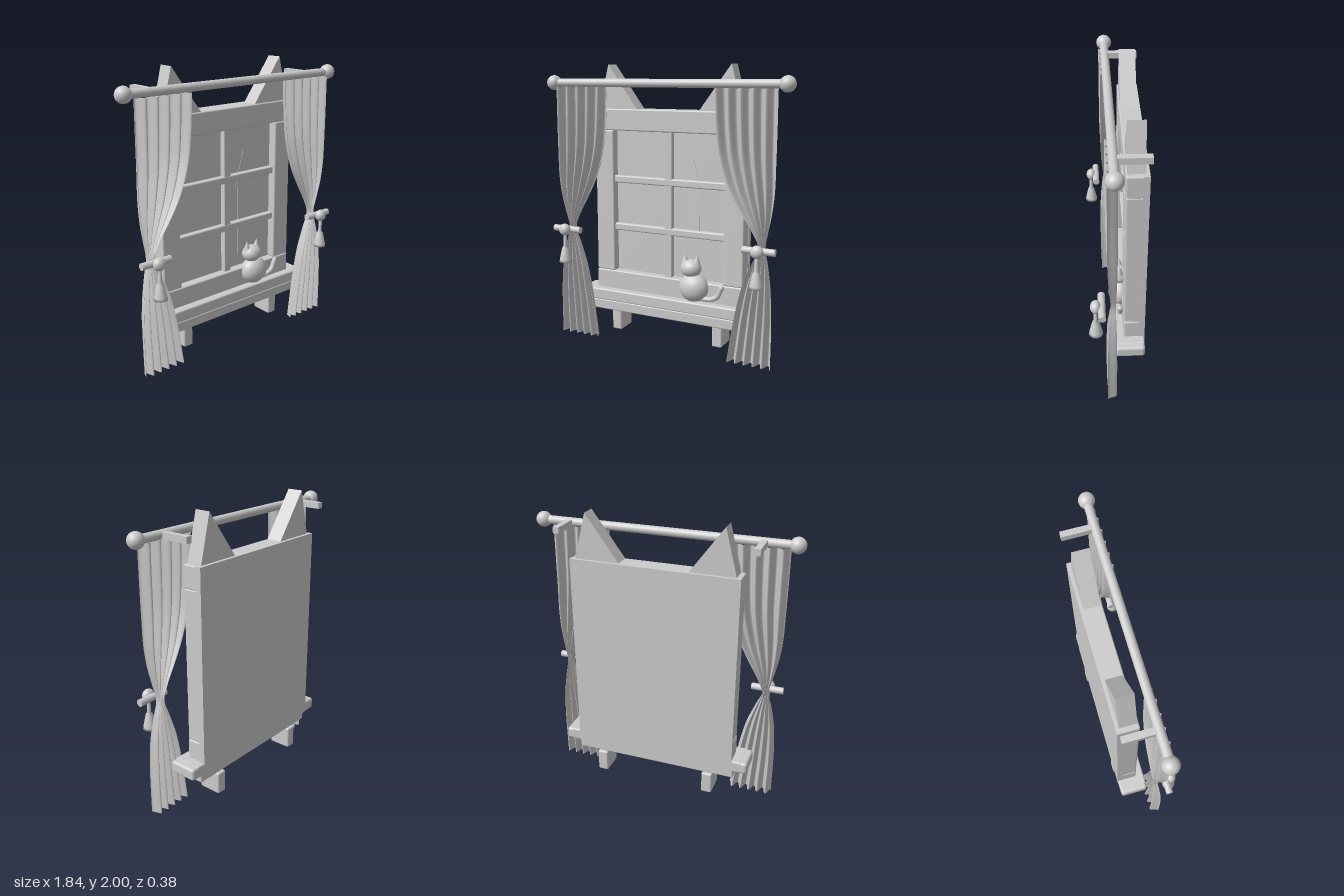
import * as THREE from 'three';
import { RoundedBoxGeometry } from 'three/addons/geometries/RoundedBoxGeometry.js';

export function createModel() {
  const root = new THREE.Group();
  const gray = new THREE.MeshStandardMaterial({ color: 0xcccccc });
  gray.name = 'plain gray';
  const cloth = gray.clone();
  cloth.name = 'plain gray cloth';
  cloth.side = THREE.DoubleSide;

  const add = (name, geo, x = 0, y = 0, z = 0, parent = root, mat = gray) => {
    const m = new THREE.Mesh(geo, mat);
    m.name = name;
    m.position.set(x, y, z);
    parent.add(m);
    return m;
  };
  // box given by its extents, with optional rounded edges
  const box = (name, x0, x1, y0, y1, z0, z1, r = 0) => {
    const w = x1 - x0, h = y1 - y0, d = z1 - z0;
    const geo = r ? new RoundedBoxGeometry(w, h, d, 3, r) : new THREE.BoxGeometry(w, h, d);
    return add(name, geo, (x0 + x1) / 2, (y0 + y1) / 2, (z0 + z1) / 2);
  };
  const prism = (points, depth) => new THREE.ExtrudeGeometry(
    new THREE.Shape(points.map(([x, y]) => new THREE.Vector2(x, y))), { depth, bevelEnabled: false });

  // window frame and panes
  box('backPanel', -0.578, 0.578, 0.28, 1.69, -0.19, -0.15);
  box('glass', -0.44, 0.44, 0.49, 1.55, -0.15, -0.11);
  box('topRail', -0.578, 0.578, 1.537, 1.69, -0.17, -0.048, 0.01);
  box('bottomRail', -0.578, 0.578, 0.345, 0.497, -0.17, -0.048, 0.01);
  for (const s of [-1, 1]) {
    const xs = [s * 0.43, s * 0.575].sort((a, b) => a - b);
    box('stile', ...xs, 0.497, 1.537, -0.17, -0.048, 0.01);
  }
  box('verticalMuntin', -0.03, 0.028, 0.49, 1.54, -0.115, -0.07, 0.005);
  for (const y of [1.184, 0.83]) box('crossMuntin', -0.435, 0.435, y - 0.026, y + 0.026, -0.115, -0.068, 0.01);

  // thin tower on the pane
  add('tower', prism([[0.125, 0.5], [0.225, 0.5], [0.225, 1.1], [0.247, 1.1], [0.175, 1.375], [0.103, 1.1], [0.125, 1.1]], 0.004), 0, 0, -0.111);

  // sill, apron and supports
  box('sill', -0.645, 0.645, 0.275, 0.36, -0.188, 0.01, 0.012);
  box('apron', -0.587, 0.587, 0.205, 0.28, -0.165, 0.01, 0.01);

  // curtain rows: y, outer x, inner x, fold depth
  const rows = [
    [1.845, 0.823, 0.402, 0.032], [1.6, 0.824, 0.415, 0.032], [1.4, 0.823, 0.442, 0.032],
    [1.2, 0.82, 0.508, 0.031], [1.05, 0.803, 0.59, 0.027], [0.93, 0.778, 0.665, 0.021],
    [0.82, 0.757, 0.712, 0.016], [0.7, 0.782, 0.668, 0.021], [0.55, 0.808, 0.612, 0.028],
    [0.35, 0.822, 0.566, 0.031], [0, 0.824, 0.513, 0.032]];
  const edge = (k) => new THREE.CatmullRomCurve3(rows.map((r) => new THREE.Vector3(r[k], r[0], r[3])));
  const outer = edge(1), inner = edge(2);
  const curtain = (s) => {
    const geo = new THREE.PlaneGeometry(1, 1, 72, 60);
    const p = geo.attributes.position;
    for (let i = 0; i < p.count; i++) {
      const u = p.getX(i) + 0.5, t = 0.5 - p.getY(i);
      const a = outer.getPoint(t), b = inner.getPoint(t);
      const x = s > 0 ? b.x + (a.x - b.x) * u : -(a.x + (b.x - a.x) * u);
      const fold = s > 0 ? 1 - u : u;
      p.setXYZ(i, x, a.y, 0.025 + a.z * 0.45 + a.z * Math.cos(fold * Math.PI * 10));
    }
    geo.computeVertexNormals();
    return geo;
  };

  // curtain rod
  const rodZ = 0.03;
  add('rod', new THREE.CylinderGeometry(0.029, 0.029, 1.7, 24), 0, 1.872, rodZ).rotation.z = Math.PI / 2;

  // tassel outline, hanging below the knot
  const tasselProfile = [[0, 0.575], [0.046, 0.575], [0.043, 0.595], [0.024, 0.68], [0.013, 0.695], [0.012, 0.8], [0, 0.8]]
    .map(([x, y]) => new THREE.Vector2(x, y));

  for (const s of [-1, 1]) {
    add('finial', new THREE.SphereGeometry(0.053, 28, 18), s * 0.868, 1.872, rodZ);
    box('rodBracket', s * 0.665 - 0.021, s * 0.665 + 0.021, 1.85, 1.892, -0.19, 0.03);
    box('sillEnd', s * 0.652 - 0.035, s * 0.652 + 0.035, 0.272, 0.358, -0.188, 0.01, 0.02);
    box('support', s * 0.402 - 0.038, s * 0.402 + 0.038, 0.05, 0.21, -0.188, -0.022, 0.012);
    add('roofEar', prism(s > 0
      ? [[0.235, 1.688], [0.545, 1.688], [0.465, 2]]
      : [[-0.545, 1.688], [-0.235, 1.688], [-0.465, 2]], 0.11), 0, 0, -0.167);
    add('curtain', curtain(s), 0, 0, 0, root, cloth);

    // tieback with knot and tassel
    const tie = new THREE.Group();
    tie.name = 'tieback';
    tie.position.x = s * 0.735;
    root.add(tie);
    add('tieBar', new THREE.CylinderGeometry(0.024, 0.024, 0.222, 20), 0, 0.815, 0.105, tie).rotation.z = Math.PI / 2;
    add('knot', new THREE.SphereGeometry(0.044, 24, 16), 0, 0.817, 0.144, tie).scale.z = 0.8;
    add('tassel', new THREE.LatheGeometry(tasselProfile, 20), 0, 0, 0.144, tie);
  }

  // cat sitting on the sill
  const cat = new THREE.Group();
  cat.name = 'cat';
  cat.position.z = -0.035;
  root.add(cat);
  add('catBody', new THREE.SphereGeometry(0.107, 28, 20), 0.22, 0.46, 0, cat).scale.set(1, 0.94, 0.75);
  add('catHead', new THREE.SphereGeometry(0.075, 28, 20), 0.198, 0.598, 0, cat).scale.set(1, 0.83, 0.88);
  for (const s of [-1, 1]) {
    add('catEar', new THREE.ConeGeometry(0.028, 0.075, 16), 0.198 + s * 0.045, 0.665, 0, cat).rotation.z = -s * 0.1;
  }
  const tail = new THREE.CatmullRomCurve3([[0.28, 0.39], [0.35, 0.392], [0.4, 0.42], [0.418, 0.46], [0.43, 0.485]]
    .map(([x, y]) => new THREE.Vector3(x, y, 0.005)));
  add('catTail', new THREE.TubeGeometry(tail, 24, 0.018, 12), 0, 0, 0, cat);
  add('tailTip', new THREE.SphereGeometry(0.018, 12, 8), 0.43, 0.485, 0.005, cat);

  return root;
}
